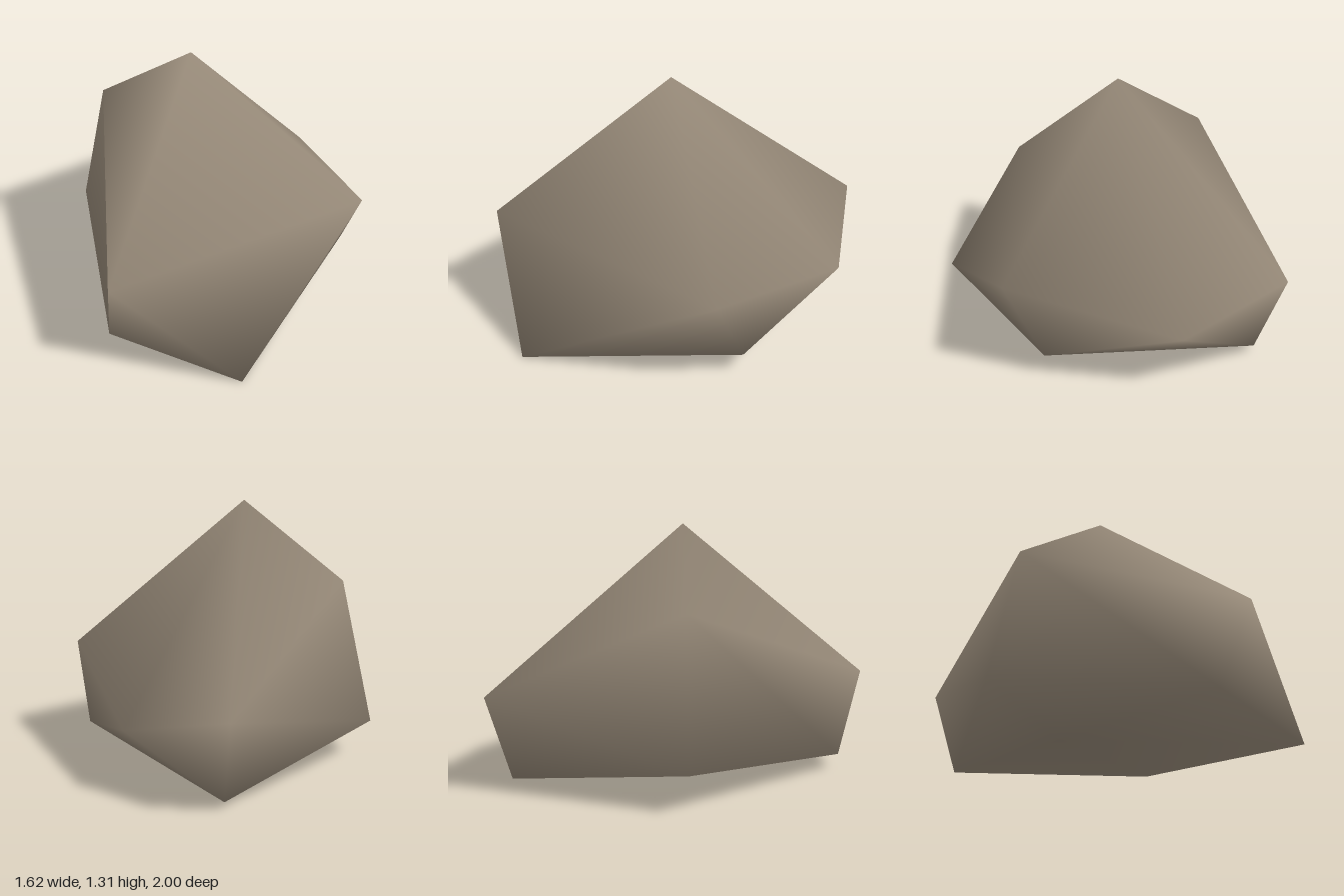
import * as THREE from 'three';

// Rough boulder: a distorted icosahedron (peak, two staggered rings of five, hollow base)
export function createModel() {
  const peak = [-0.1, 1.31, 0.04];
  const base = [-0.23, 0.05, -0.12];
  // both rings run counterclockwise seen from above, starting at the front
  const upper = [[-0.19, 0.51, 1.0], [0.81, 0.51, -0.08], [0.29, 0.32, -0.82], [-0.28, 0.48, -1.0], [-0.64, 0.93, -0.05]];
  const lower = [[0.45, 0.0, 0.89], [0.69, 0.11, -0.24], [-0.22, 0.03, -0.87], [-0.81, 0.19, -0.07], [-0.27, 0.075, 0.86]];

  const points = [peak, ...upper, ...lower, base];
  const faces = [];
  for (let i = 0; i < 5; i++) {
    const j = (i + 1) % 5;
    const u = 1 + i, un = 1 + j, l = 6 + i, ln = 6 + j;
    faces.push(0, u, un); // crown
    faces.push(u, l, un, l, ln, un); // sides
    faces.push(11, ln, l); // underside
  }

  const geometry = new THREE.BufferGeometry();
  geometry.setAttribute('position', new THREE.Float32BufferAttribute(points.flat(), 3));
  geometry.setIndex(faces);
  geometry.computeVertexNormals(); // smooth shading across shared corners

  const stone = new THREE.MeshStandardMaterial({ color: 0x958877 });
  stone.name = 'stone';

  const rock = new THREE.Mesh(geometry, stone);
  rock.name = 'rock';

  const group = new THREE.Group();
  group.name = 'boulder';
  group.add(rock);
  return group;
}
